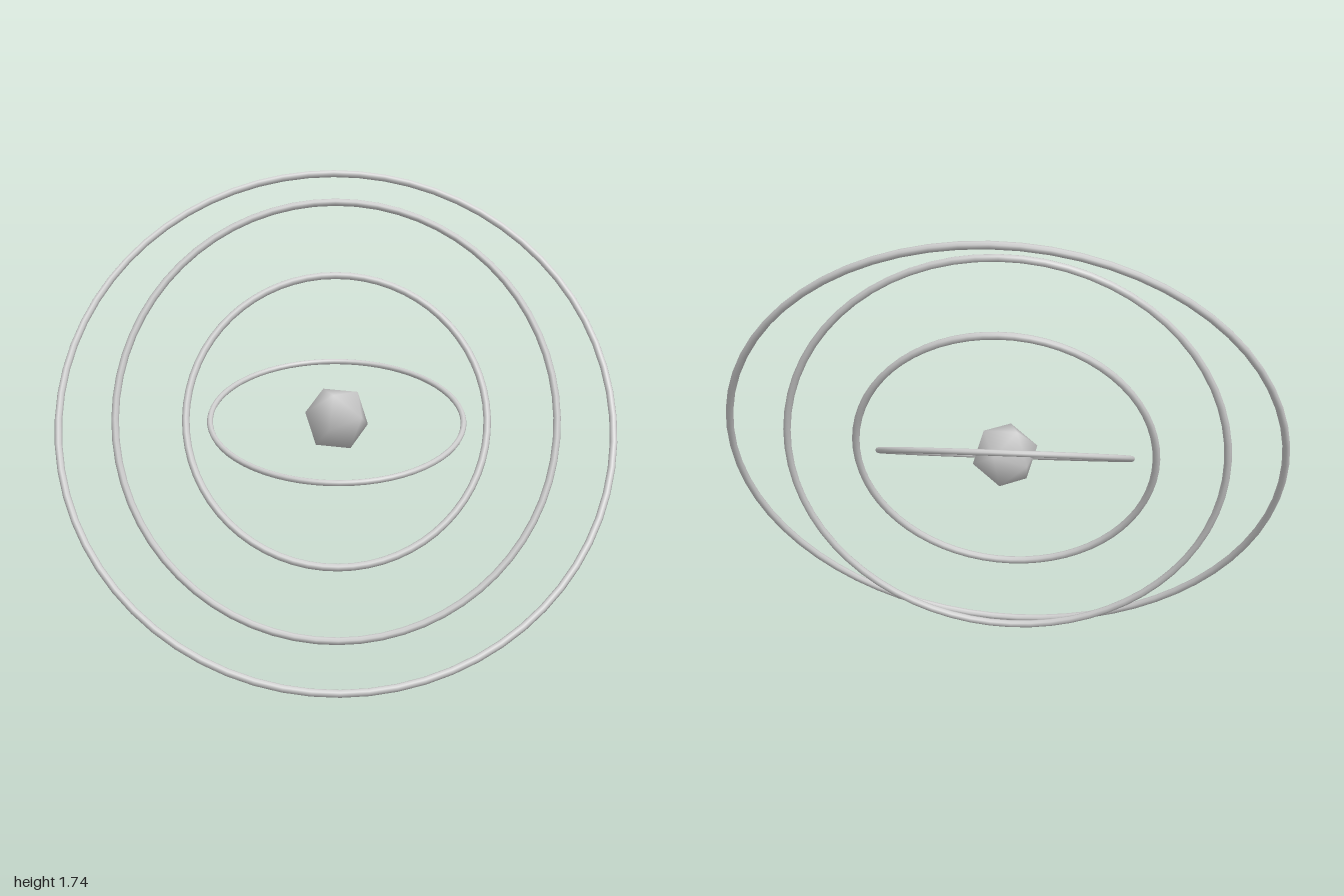
import * as THREE from 'three';

export function createModel() {
  const model = new THREE.Group();
  const grey = new THREE.MeshStandardMaterial({ color: 0xcccccc });
  grey.name = 'pale grey';
  const centreY = 0.872;

  // Orbit rings: radius, tube radius, tilt back from upright (degrees)
  const rings = [
    ['outerRing', 0.986, 0.0135, 29.4],
    ['secondRing', 0.786, 0.0135, 15.4],
    ['thirdRing', 0.536, 0.0135, 23],
    ['innerRing', 0.45, 0.0105, 70],
  ];
  for (const [name, radius, tube, tilt] of rings) {
    const ring = new THREE.Mesh(new THREE.TorusGeometry(radius, tube, 8, 64), grey);
    ring.name = name;
    ring.position.y = centreY;
    ring.rotation.x = -THREE.MathUtils.degToRad(tilt);
    model.add(ring);
  }

  // Central core: smooth-shaded icosahedron, turned and tipped
  const coreGeometry = new THREE.IcosahedronGeometry(0.12, 0);
  const normals = coreGeometry.attributes.position.clone();
  coreGeometry.setAttribute('normal', normals);
  coreGeometry.normalizeNormals();
  const core = new THREE.Mesh(coreGeometry, grey);
  core.name = 'core';
  core.position.y = centreY;
  const turn = THREE.MathUtils.degToRad(180 + 46);
  const tip = THREE.MathUtils.degToRad(-25);
  core.rotation.set(tip, turn, 0, 'YXZ');
  model.add(core);

  return model;
}
